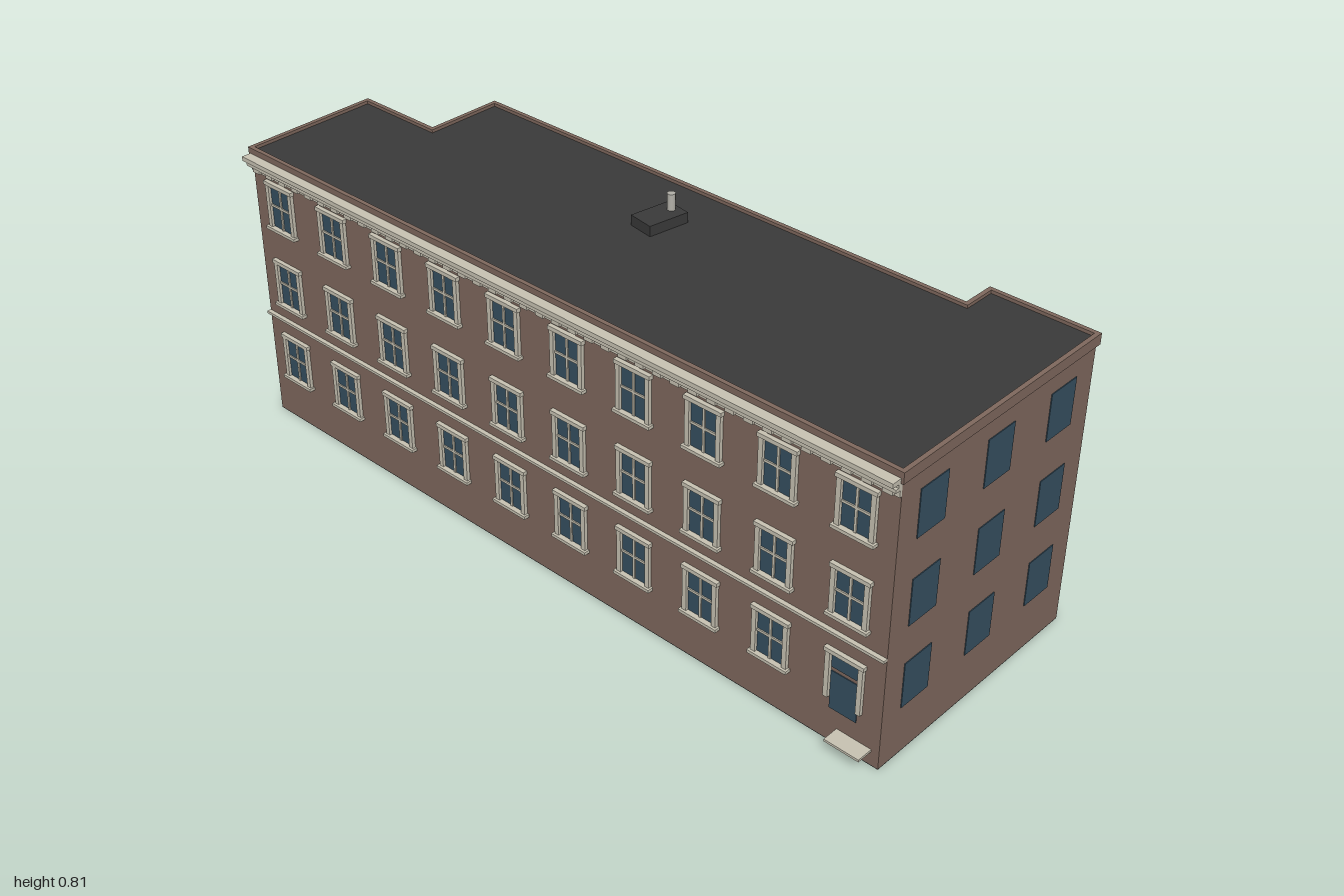
import * as THREE from 'three';

const mat = (name, color) => {
  const m = new THREE.MeshStandardMaterial({ color });
  m.name = name;
  return m;
};

export function createModel() {
  const brick = mat('brick', 0x80695e);
  const roofing = mat('roofing', 0x3a3a3a);
  const glass = mat('glass', 0x365061);
  const stone = mat('stone trim', 0xc9c4b4);
  const metal = mat('vent metal', 0xb4b2aa);

  const model = new THREE.Group();
  model.name = 'building';

  // The block is turned on its plot; local x runs along the front, v runs to the back
  const block = new THREE.Group();
  block.name = 'block';
  block.position.set(-0.16, 0, 0.987);
  block.rotation.y = THREE.MathUtils.degToRad(9.05);
  model.add(block);

  const L = 1.943;
  const plan = [[0, 0], [0.656, 0], [0.656, 0.263], [0.57, 0.263],
    [0.57, 1.70], [0.362, 1.70], [0.362, L], [0, L]];

  // Plan outline pushed outward by d
  const outline = (d) => plan.map((p, i) => {
    const a = plan[(i + plan.length - 1) % plan.length];
    const b = plan[(i + 1) % plan.length];
    const l1 = Math.hypot(p[0] - a[0], p[1] - a[1]);
    const l2 = Math.hypot(b[0] - p[0], b[1] - p[1]);
    return new THREE.Vector2(
      p[0] + d * ((p[1] - a[1]) / l1 + (b[1] - p[1]) / l2),
      p[1] - d * ((p[0] - a[0]) / l1 + (b[0] - p[0]) / l2));
  });

  const slab = (name, material, d, y0, y1, inner) => {
    const shape = new THREE.Shape(outline(d));
    if (inner !== undefined) shape.holes.push(new THREE.Path(outline(inner)));
    const geo = new THREE.ExtrudeGeometry(shape, { depth: y1 - y0, bevelEnabled: false });
    geo.rotateX(-Math.PI / 2);
    const mesh = new THREE.Mesh(geo, material);
    mesh.position.y = y0;
    mesh.name = name;
    block.add(mesh);
  };

  const box = (name, material, x0, x1, y0, y1, v0, v1, parent = block) => {
    const mesh = new THREE.Mesh(new THREE.BoxGeometry(x1 - x0, y1 - y0, v1 - v0), material);
    mesh.position.set((x0 + x1) / 2, (y0 + y1) / 2, -(v0 + v1) / 2);
    mesh.name = name;
    parent.add(mesh);
  };

  // Main masses
  slab('base', roofing, 0, 0, 0.002);
  slab('walls', brick, 0, 0.002, 0.735);
  slab('roof', roofing, -0.003, 0.735, 0.744);
  slab('parapet', brick, 0.006, 0.725, 0.752, -0.005);

  // Plain windows
  const floors = [0.128, 0.343, 0.56];
  const H = 0.117, W = 0.045, T = 0.002;
  const alongX = (x, v, rows) => rows.forEach((y) =>
    box('window', glass, x - W, x + W, y, y + H, v - T, v + T));
  const alongV = (x, v, rows) => rows.forEach((y) =>
    box('window', glass, x - T, x + T, y, y + H, v - W, v + W));

  [0.107, 0.327, 0.547].forEach((x) => alongX(x, 0, floors));
  alongX(0.466, 1.70, floors);
  alongX(0.181, L, floors);
  alongV(0.656, 0.131, floors.slice(1));
  for (let i = 0; i < 6; i++) alongV(0.57, 0.383 + i * 0.239, floors.slice(1));
  alongV(0.362, 1.822, floors);

  // Framed windows of the street facade, at local x = 0 facing -x
  const framedWindow = (v, y) => {
    const g = new THREE.Group();
    g.name = 'framedWindow';
    block.add(g);
    const top = y + H;
    box('pane', glass, -T, T, y, top, v - W, v + W, g);
    for (const s of [-1, 1]) {
      const c = v + s * (W - 0.003);
      box('jamb', stone, -0.009, 0, y, top, c - 0.006, c + 0.006, g);
    }
    box('mullion', stone, -0.005, 0, y, top, v - 0.003, v + 0.003, g);
    box('meetingRail', stone, -0.005, 0, y + H / 2 - 0.003, y + H / 2 + 0.003, v - W, v + W, g);
    box('head', stone, -0.011, 0, top - 0.005, top + 0.005, v - W - 0.006, v + W + 0.006, g);
    box('sill', stone, -0.015, 0, y - 0.008, y, v - W - 0.008, v + W + 0.008, g);
  };
  const bays = 10;
  const pitch = L / bays;
  for (let i = 0; i < bays; i++) {
    for (const y of floors) {
      if (i > 0 || y !== floors[0]) framedWindow((i + 0.5) * pitch, y);
    }
  }

  // Entrance in the first bay
  const d = pitch / 2;
  box('doorGlass', glass, -T, T, 0.09, 0.19, d - 0.035, d + 0.035);
  box('transomGlass', glass, -T, T, 0.2, 0.24, d - 0.035, d + 0.035);
  for (const s of [-1, 1]) {
    const c = d + s * 0.042;
    box('doorJamb', stone, -0.009, 0, 0.12, 0.245, c - 0.006, c + 0.006);
  }
  box('doorHead', stone, -0.011, 0, 0.24, 0.25, d - 0.051, d + 0.051);
  box('doorStep', stone, -0.042, 0, 0.037, 0.043, 0.02, 0.11);

  // Facade bands and cornice
  box('stringCourse', stone, -0.011, 0, 0.29, 0.297, 0, L);
  box('frieze', stone, -0.006, 0, 0.692, 0.71, 0, L);
  const dentils = 40;
  for (let i = 0; i < dentils; i++) {
    const c = (i + 0.5) * L / dentils;
    box('dentil', stone, -0.013, -0.006, 0.694, 0.709, c - 0.012, c + 0.012);
  }
  box('corniceMoulding', stone, -0.02, 0, 0.709, 0.717, 0, L);
  box('corniceBed', stone, -0.012, 0, 0.717, 0.726, 0, L);
  box('corniceShelf', stone, -0.031, 0, 0.726, 0.737, 0, L);

  // Rooftop unit, square to the model's axes
  box('rooftopUnit', roofing, 0.024, 0.132, 0.74, 0.77, 0.006, 0.075, model);
  const pipe = new THREE.Mesh(new THREE.CylinderGeometry(0.01, 0.01, 0.042, 12), metal);
  pipe.position.set(0.112, 0.79, -0.041);
  pipe.name = 'ventPipe';
  model.add(pipe);

  return model;
}
